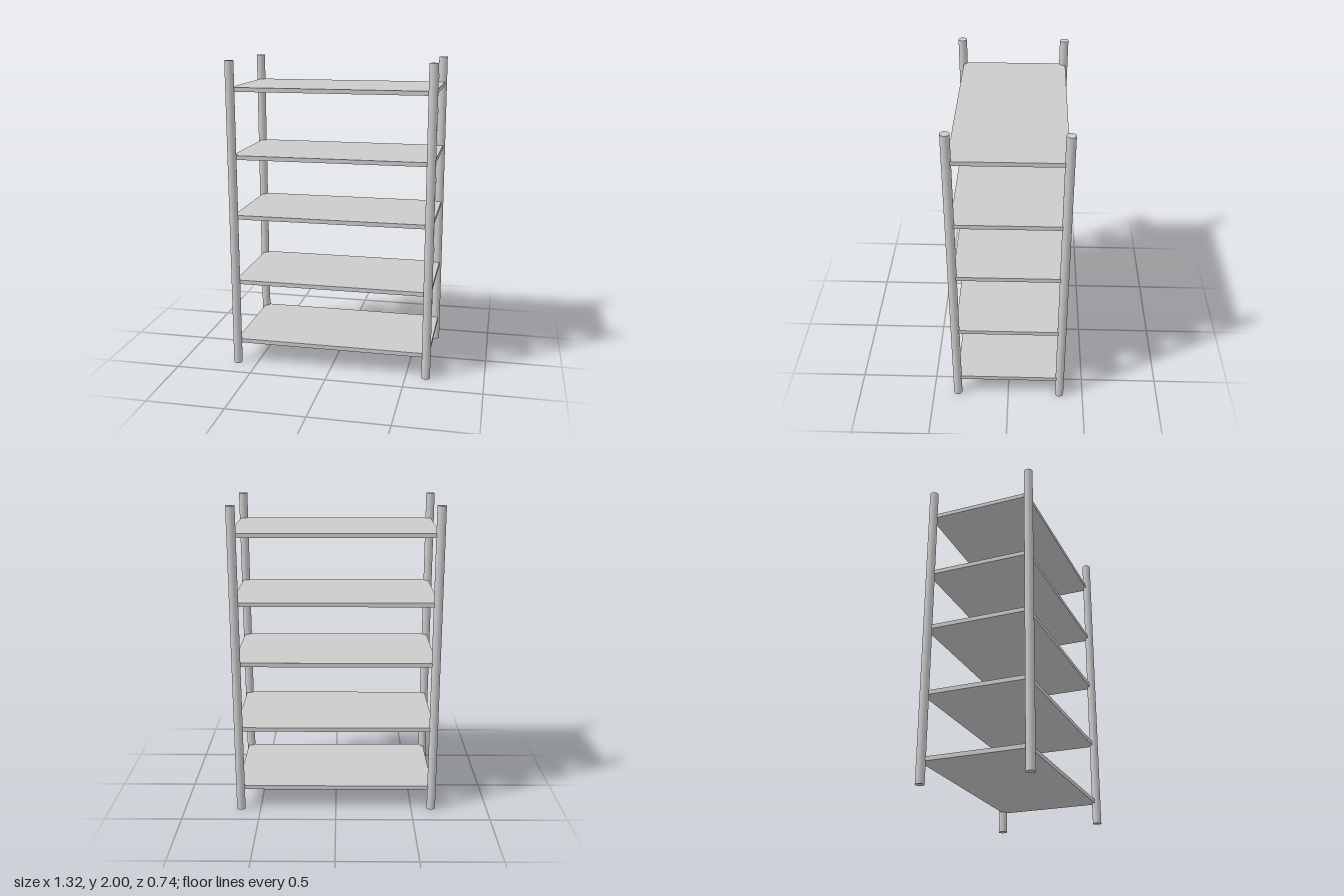
import * as THREE from 'three';

export function createModel() {
  const model = new THREE.Group();
  const material = new THREE.MeshStandardMaterial({ color: 0xcccccc });

  const add = (name, geometry, x, y, z) => {
    const mesh = new THREE.Mesh(geometry, material);
    mesh.name = name;
    mesh.position.set(x, y, z);
    model.add(mesh);
  };

  // Four round corner posts, the rear pair slightly uneven in depth
  const post = new THREE.CylinderGeometry(0.028, 0.028, 2, 32);
  add('frontLeftPost', post, 0.63, 1, 0.339);
  add('frontRightPost', post, -0.633, 1, 0.339);
  add('backLeftPost', post, 0.63, 1, -0.344);
  add('backRightPost', post, -0.633, 1, -0.333);

  // Five thin shelves running into the posts
  const shelf = new THREE.BoxGeometry(1.281, 0.027, 0.679);
  [0.15, 0.562, 1.001, 1.392, 1.821].forEach((y, i) => {
    add(`shelf${i + 1}`, shelf, 0.005, y, -0.005);
  });

  return model;
}
